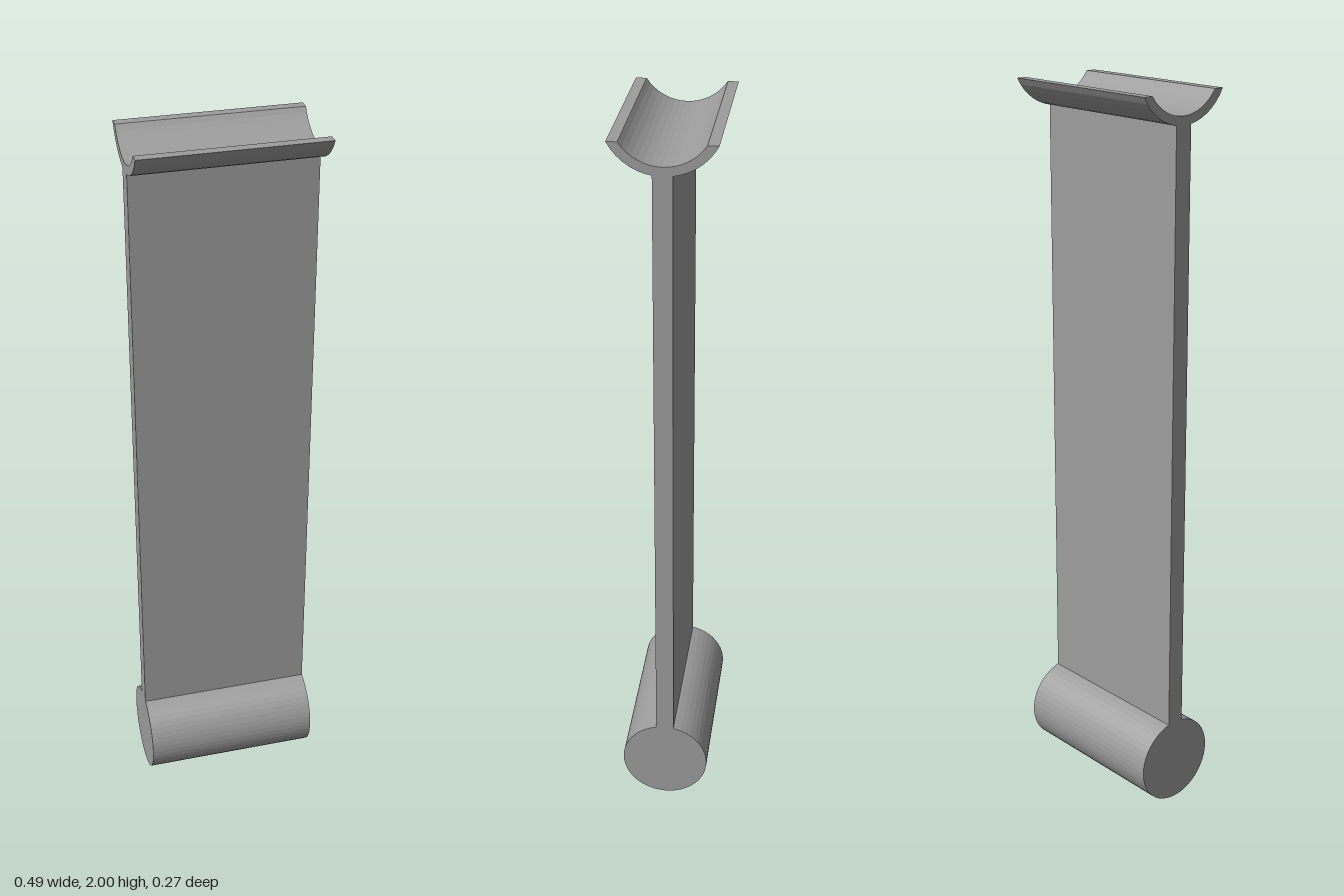
import * as THREE from 'three';

const WIDTH = 0.49;

export function createModel() {
  const group = new THREE.Group();
  const material = new THREE.MeshStandardMaterial({ color: 0x9d9d9d, flatShading: true });
  const add = (name, geometry, y) => {
    const mesh = new THREE.Mesh(geometry, material);
    mesh.name = name;
    mesh.position.y = y;
    group.add(mesh);
  };

  // solid roller along the bottom
  const rollerRadius = 0.122;
  add('roller', new THREE.CylinderGeometry(rollerRadius, rollerRadius, WIDTH, 48).rotateZ(Math.PI / 2), rollerRadius);

  // thin upright panel, sunk slightly into the roller and the cradle
  const panelBottom = 0.235, panelTop = 1.93;
  add('panel', new THREE.BoxGeometry(WIDTH, panelTop - panelBottom, 0.05), (panelBottom + panelTop) / 2);

  // open trough on top: two concentric arcs cut level at y = 2
  const centreY = 2.07, outer = 0.151, inner = 0.127, drop = centreY - 2;
  const outerAngle = Math.acos(drop / outer), innerAngle = Math.acos(drop / inner);
  const down = -Math.PI / 2;
  const profile = new THREE.Shape();
  profile.absarc(0, 0, outer, down - outerAngle, down + outerAngle, false);
  profile.absarc(0, 0, inner, down + innerAngle, down - innerAngle, true);
  profile.closePath();
  const cradle = new THREE.ExtrudeGeometry(profile, { depth: WIDTH, bevelEnabled: false, curveSegments: 8 });
  cradle.translate(0, 0, -WIDTH / 2).rotateY(Math.PI / 2);
  add('cradle', cradle, centreY);

  return group;
}
